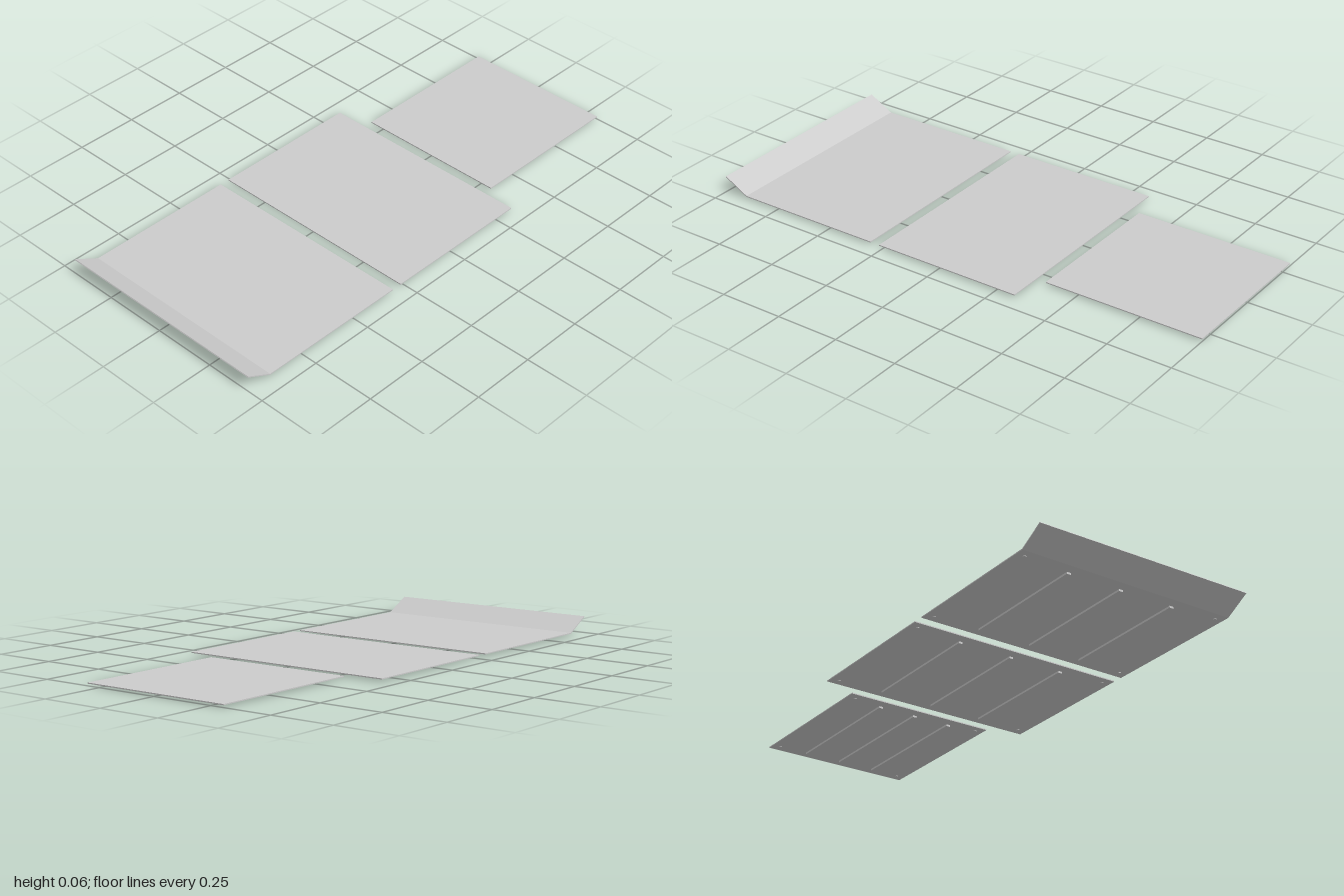
import * as THREE from 'three';

const BOTTOM = 0.0075, TOP = 0.0115;

export function createModel() {
  const model = new THREE.Group();
  const material = new THREE.MeshStandardMaterial({ color: 0xcccccc, flatShading: true });

  const add = (parent, name, geometry, x, y, z) => {
    const mesh = new THREE.Mesh(geometry, material);
    mesh.name = name;
    mesh.position.set(x, y, z);
    parent.add(mesh);
  };

  // Side profile in (z, y), extruded across the width
  const sheet = (profile, halfWidth) => {
    const shape = new THREE.Shape(profile.map(([z, y]) => new THREE.Vector2(-z, y)));
    const geometry = new THREE.ExtrudeGeometry(shape, { depth: halfWidth * 2, bevelEnabled: false });
    return geometry.translate(0, 0, -halfWidth).rotateY(Math.PI / 2);
  };

  const panels = [
    { name: 'frontPanel', half: 0.436, back: 0.305, front: 0.9, ribs: 0.218, lip: true },
    { name: 'middlePanel', half: 0.436, back: -0.33, front: 0.265, ribs: 0.218 },
    { name: 'rearPanel', half: 0.304, back: -1, front: -0.37, ribs: 0.152 },
  ];

  for (const { name, half, back, front, ribs, lip } of panels) {
    const panel = new THREE.Group();
    panel.name = name;
    model.add(panel);

    // Thin plate, with an upturned lip on the front one
    const nose = lip
      ? [[front + 0.001, BOTTOM], [1, 0.0615], [0.998, 0.065], [front, TOP]]
      : [[front, BOTTOM], [front, TOP]];
    add(panel, 'plate', sheet([[back, BOTTOM], ...nose, [back, TOP]], half), 0, 0, 0);

    // Stiffening ribs underneath
    const length = front - back - 0.08, middle = (front + back) / 2;
    for (const x of [-ribs, 0, ribs])
      add(panel, 'rib', new THREE.BoxGeometry(0.016, BOTTOM, length), x, BOTTOM / 2, middle);

    // Small fasteners under the corners
    for (const side of [-1, 1])
      for (const z of [back + 0.032, front - 0.032])
        add(panel, 'fastener', new THREE.CylinderGeometry(0.006, 0.006, 0.003, 12),
          side * (half - 0.032), BOTTOM - 0.001, z);
  }
  return model;
}
